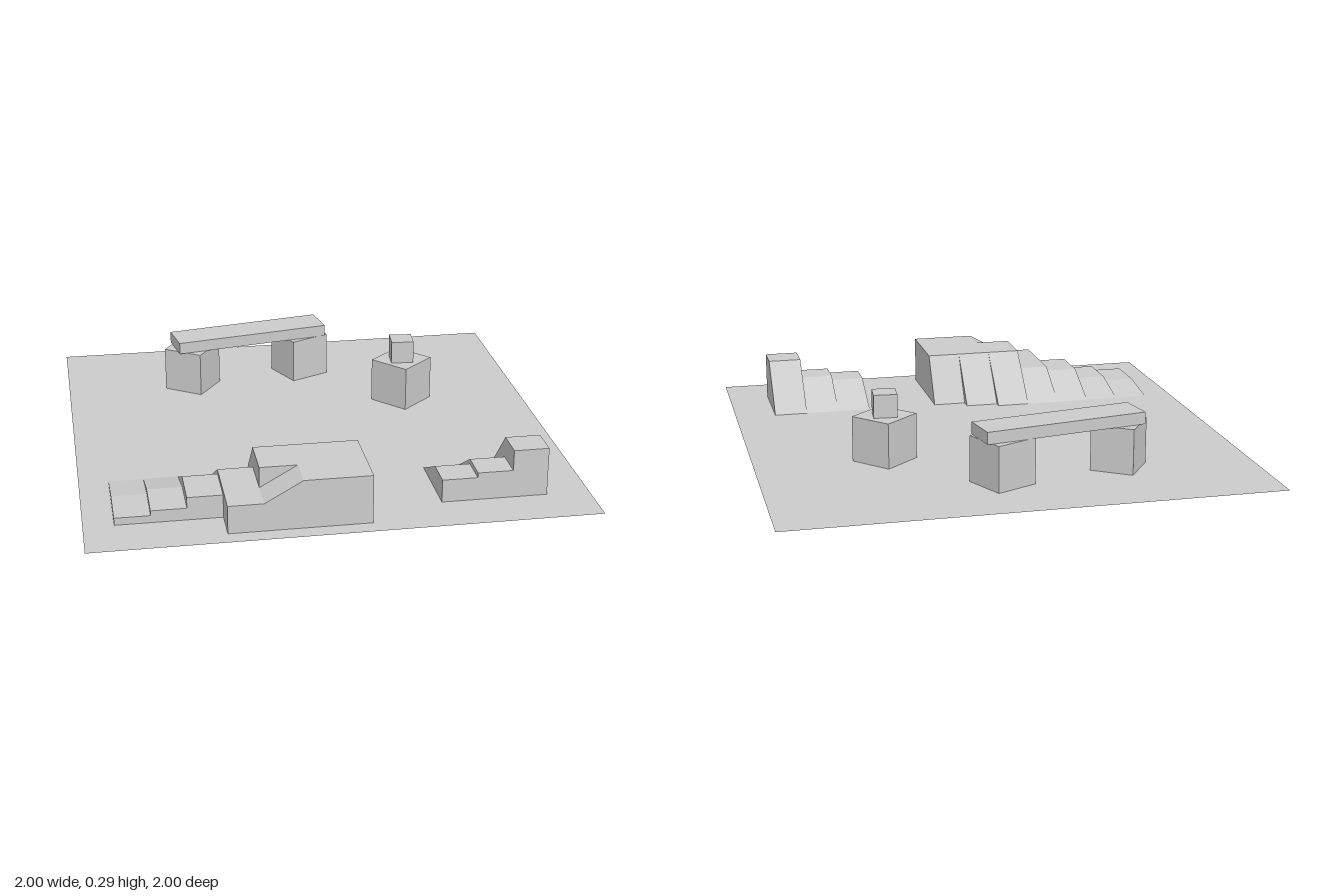
import * as THREE from 'three';

const material = new THREE.MeshStandardMaterial({ color: 0xcccccc, flatShading: true, side: THREE.DoubleSide });

function add(parent, name, geometry) {
  const mesh = new THREE.Mesh(geometry, material);
  mesh.name = name;
  parent.add(mesh);
  return mesh;
}

function extrude(points, depth) {
  const shape = new THREE.Shape(points.map(([x, y]) => new THREE.Vector2(x, y)));
  return new THREE.ExtrudeGeometry(shape, { depth, bevelEnabled: false });
}

// Strip from x0 to x1, sloping at the back from the ground up to a flat top
function rampStrip(parent, name, x0, x1, height, foot, crest, front) {
  const profile = [[foot, 0], [front, 0], [front, height], [crest, height]];
  const geometry = extrude(profile, x1 - x0).rotateY(-Math.PI / 2).translate(x1, 0, 0);
  add(parent, name, geometry);
}

function block(parent, name, [w, h, d], [x, y, z], turn) {
  const mesh = add(parent, name, new THREE.BoxGeometry(w, h, d));
  mesh.position.set(x, y + h / 2, z);
  mesh.rotation.y = turn;
}

export function createModel() {
  const model = new THREE.Group();
  model.name = 'playground';

  add(model, 'ground', new THREE.PlaneGeometry(2, 2).rotateX(-Math.PI / 2));

  // Large ramp: strips rising toward the middle, with a staggered foot
  const largeRamp = new THREE.Group();
  largeRamp.name = 'largeRamp';
  model.add(largeRamp);
  const strips = [
    [0.03, 0.40], [0.05, 0.40], [0.095, 0.40], [0.115, 0.40],
    [0.20, 0.40], [0.20, 0.43], [0.20, 0.48],
  ];
  strips.forEach(([height, foot], i) => {
    const x0 = -0.88 + i * 0.14;
    rampStrip(largeRamp, 'largeRampStrip', x0, x0 + 0.14, height, foot, 0.6, 0.79);
  });

  // Front ledge with a sloped shoulder
  const ledge = [[-0.46, 0], [0.10, 0], [0.10, 0.20], [-0.17, 0.20], [-0.32, 0.115], [-0.46, 0.115]];
  add(largeRamp, 'frontLedge', extrude(ledge, 0.14).translate(0, 0, 0.79));

  // Small ramp
  const smallRamp = new THREE.Group();
  smallRamp.name = 'smallRamp';
  model.add(smallRamp);
  [0.095, 0.115, 0.20].forEach((height, i) => {
    const x0 = 0.40 + i * 0.142;
    rampStrip(smallRamp, 'smallRampStrip', x0, x0 + 0.142, height, 0.48, 0.67, 0.80);
  });

  // Bench
  const bench = new THREE.Group();
  bench.name = 'bench';
  model.add(bench);
  block(bench, 'benchLeg', [0.18, 0.19, 0.18], [-0.44, 0, -0.56], -0.6);
  block(bench, 'benchLeg', [0.185, 0.19, 0.185], [0.065, 0, -0.652], 0.44);
  block(bench, 'benchSeat', [0.69, 0.05, 0.155], [-0.178, 0.19, -0.605], 0.18);

  // Stacked cubes
  block(model, 'largeCube', [0.187, 0.19, 0.187], [0.4625, 0, -0.2525], 0.73);
  block(model, 'smallCube', [0.097, 0.097, 0.097], [0.46, 0.19, -0.25], -0.09);

  return model;
}
